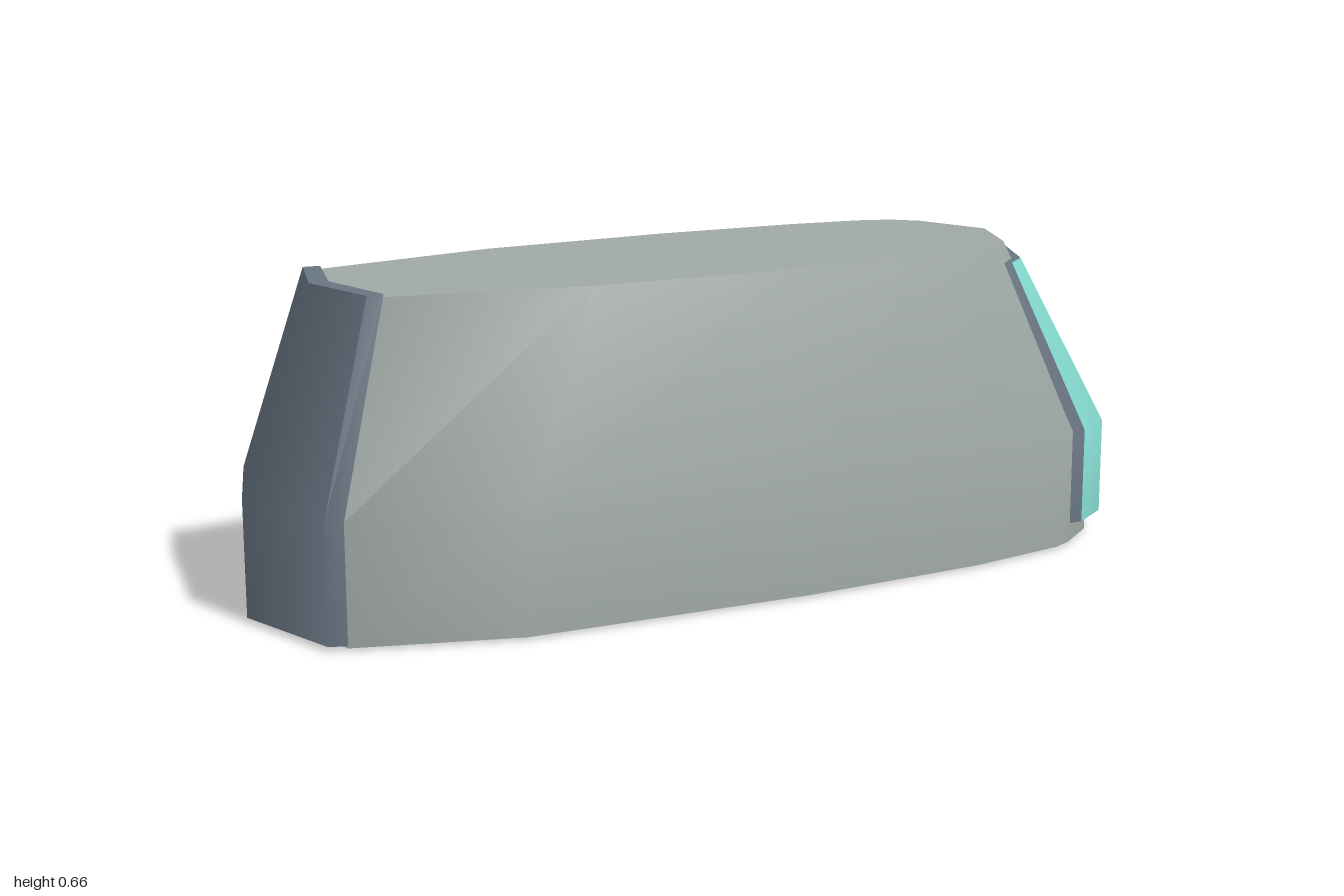
import * as THREE from 'three';
import { toCreasedNormals } from 'three/addons/utils/BufferGeometryUtils.js';

const paint = (color) => new THREE.MeshStandardMaterial({ color, side: THREE.DoubleSide });

// Complete a half outline [x, z] by mirroring it across z = 0.
function mirrored(half) {
  return [...half, ...half.filter((p) => p[1] !== 0).reverse().map(([x, z]) => [x, -z])];
}

// Loft outlines (counterclockwise from above) stacked at the given heights.
function loft(outlines, heights, closed = true) {
  const n = outlines[0].length;
  const pos = [];
  const index = [];
  outlines.forEach((o, r) => o.forEach(([x, z]) => pos.push(x, heights[r], z)));
  for (let r = 0; r < outlines.length - 1; r++) {
    for (let i = 0; i < (closed ? n : n - 1); i++) {
      const a = r * n + i, b = r * n + ((i + 1) % n);
      index.push(a, b, b + n, a, b + n, a + n);
    }
  }
  if (closed) {
    const lid = (row, flip) => {
      const shape = outlines[row].map(([x, z]) => new THREE.Vector2(x, -z));
      for (const [a, b, c] of THREE.ShapeUtils.triangulateShape(shape, [])) {
        const t = flip ? [a, c, b] : [a, b, c];
        index.push(...t.map((k) => k + row * n));
      }
    };
    lid(0, true);
    lid(outlines.length - 1, false);
  }
  const g = new THREE.BufferGeometry();
  g.setAttribute('position', new THREE.Float32BufferAttribute(pos, 3));
  g.setIndex(index);
  return toCreasedNormals(g, 1.06);
}

// V-shaped ring: outer half outline, then the inner one back again.
const chevron = (outer, inner) => [...mirrored(outer), ...mirrored(inner).reverse()];

export function createModel() {
  const model = new THREE.Group();
  const grey = paint(0xa0a9a6);
  const slate = paint(0x687582);
  const teal = paint(0x86dcd2);

  const add = (name, geometry, material) => {
    const mesh = new THREE.Mesh(geometry, material);
    mesh.name = name;
    model.add(mesh);
    return mesh;
  };

  // Body: straight lower wall, then tapering to a flat top
  const base = mirrored([[-0.96, 0], [-0.885, 0.255], [-0.56, 0.353], [0.05, 0.375], [0.47, 0.36],
    [0.7, 0.325], [0.745, 0.305], [0.84, 0.235], [0.96, 0]]);
  const top = mirrored([[-0.82, 0], [-0.77, 0.178], [-0.37, 0.255], [0.05, 0.27], [0.37, 0.256],
    [0.53, 0.235], [0.6, 0.212], [0.65, 0.165], [0.715, 0]]);
  add('body', loft([base, base, top], [0.005, 0.25, 0.654]), grey);

  // Dark end cap on the right end
  const capBase = chevron([[-0.92, -0.245], [-1, 0]], [[-0.885, -0.256], [-0.95, 0]]);
  const capTop = chevron([[-0.8, -0.183], [-0.85, 0]], [[-0.765, -0.179], [-0.81, 0]]);
  add('endCap', loft([capBase, capBase, capTop], [0.01, 0.25, 0.66]), slate);

  // Raised panel on the left end: dark backing with a coloured skin
  const outBase = [[0.78, 0.3], [0.87, 0.243], [0.997, 0]];
  const outTop = [[0.635, 0.217], [0.69, 0.17], [0.765, 0]];
  const backBase = chevron(outBase, [[0.745, 0.3], [0.82, 0.23], [0.93, 0]]);
  const backTop = chevron(outTop, [[0.605, 0.217], [0.65, 0.165], [0.715, 0]]);
  const heights = [0.045, 0.25, 0.615];
  add('panelBacking', loft([backBase, backBase, backTop], heights), slate);
  const skinBase = mirrored(outBase), skinTop = mirrored(outTop);
  add('panelSkin', loft([skinBase, skinBase, skinTop], heights, false), teal).position.x = 0.003;

  // Round pad under the body
  add('bottomPad', new THREE.CylinderGeometry(0.11, 0.11, 0.006, 40), slate).position.set(0.26, 0.003, 0);

  // Slightly tilted foot disc, showing only its outer edge
  const foot = add('footDisc', new THREE.CylinderGeometry(0.15, 0.15, 0.006, 48), grey);
  foot.position.set(0.66, 0.0068, 0);
  foot.rotation.z = -0.013;

  return model;
}
